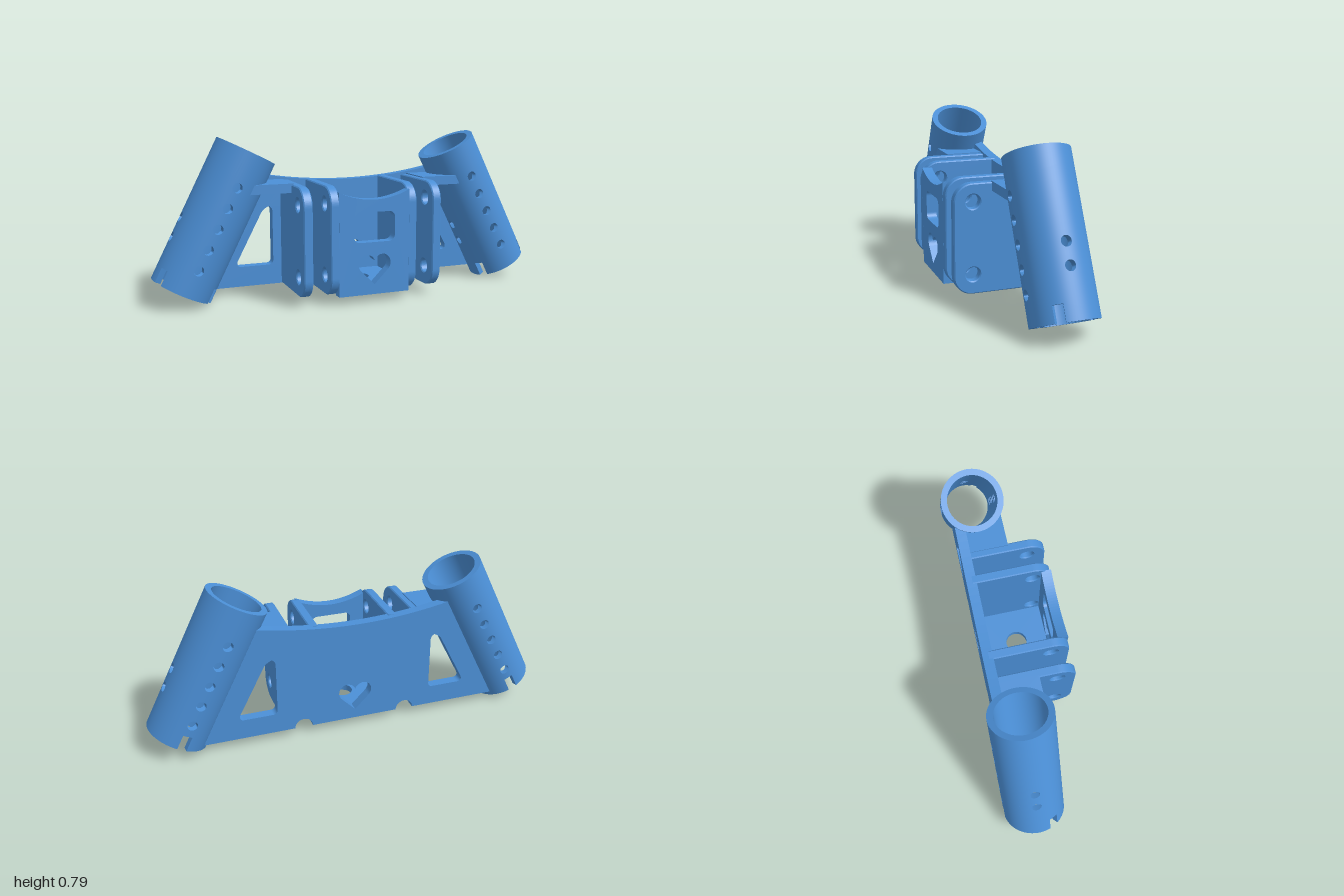
import * as THREE from 'three';

const blue = new THREE.MeshStandardMaterial({ color: 0x4b8fd6 });
const TILT = 0.468, TUBE_R = 0.152, BORE_R = 0.122, TUBE_LEN = 0.732;
const TUBE_X = 0.867, TUBE_Y = 0.073, TUBE_Z = -0.083; // centre of the lower tube end

const polygon = (pts) => new THREE.Shape(pts.map(([x, y]) => new THREE.Vector2(x, y)));

function ellipse(x, y, rx, ry = rx) {
  const p = new THREE.Path();
  p.absellipse(x, y, rx, ry, 0, Math.PI * 2);
  return p;
}

// closed outline with every corner rounded by its own radius: [x, y, r]
function rounded(corners, Type = THREE.Path) {
  const path = new Type(), n = corners.length;
  corners.forEach(([x, y, r], i) => {
    const p = new THREE.Vector2(x, y);
    const toward = ([qx, qy]) => new THREE.Vector2(qx, qy).sub(p).setLength(r).add(p);
    const a = toward(corners[(i + n - 1) % n]), b = toward(corners[(i + 1) % n]);
    if (i === 0) path.moveTo(a.x, a.y); else path.lineTo(a.x, a.y);
    if (r > 0) {
      const k = 0.55;
      path.bezierCurveTo(a.x + (x - a.x) * k, a.y + (y - a.y) * k,
        b.x + (x - b.x) * k, b.y + (y - b.y) * k, b.x, b.y);
    }
  });
  path.closePath();
  return path;
}

function heart() {
  const p = new THREE.Path();
  p.moveTo(0, 0.093);
  p.lineTo(0.07, 0.163);
  p.bezierCurveTo(0.1, 0.195, 0.075, 0.24, 0.042, 0.24);
  p.bezierCurveTo(0.02, 0.24, 0.005, 0.225, 0, 0.212);
  p.bezierCurveTo(-0.005, 0.225, -0.02, 0.24, -0.042, 0.24);
  p.bezierCurveTo(-0.075, 0.24, -0.1, 0.195, -0.07, 0.163);
  p.closePath();
  return p;
}

const extrude = (shape, depth, extra = {}) =>
  new THREE.ExtrudeGeometry(shape, { depth, bevelEnabled: false, curveSegments: 24, ...extra });

// rolls a flat slab (x = angle, y = height, z = depth) into a tube wall,
// cutting its triangles into narrow columns first
function roll(flat, start, innerR, columns = 72) {
  const P = flat.attributes.position, N = flat.attributes.normal;
  const step = Math.PI * 2 / columns, pos = [], nor = [];
  const clip = (poly, limit, sign) => {
    const out = [];
    poly.forEach((a, i) => {
      const b = poly[(i + 1) % poly.length];
      const da = sign * (a[0] - limit), db = sign * (b[0] - limit);
      if (da >= 0) out.push(a);
      if (da * db < 0) out.push(a.map((v, k) => v + (b[k] - v) * da / (da - db)));
    });
    return out;
  };
  const emit = ([u, v, w, nx, ny, nz]) => {
    const s = Math.sin(u), c = Math.cos(u), r = innerR + w;
    pos.push(r * s, v, r * c);
    nor.push(nx * c + nz * s, ny, -nx * s + nz * c);
  };
  for (let t = 0; t < P.count; t += 3) {
    const tri = [t, t + 1, t + 2].map((i) =>
      [P.getX(i), P.getY(i), P.getZ(i), N.getX(i), N.getY(i), N.getZ(i)]);
    for (let k = 0; k < columns; k++) {
      const lo = start + k * step;
      const poly = clip(clip(tri, lo, 1), lo + step, -1);
      for (let i = 1; i + 1 < poly.length; i++) [poly[0], poly[i], poly[i + 1]].forEach(emit);
    }
  }
  const g = new THREE.BufferGeometry();
  g.setAttribute('position', new THREE.Float32BufferAttribute(pos, 3));
  g.setAttribute('normal', new THREE.Float32BufferAttribute(nor, 3));
  return g;
}

// tube wall with three end slots, rows of holes front and back, pairs at the sides
function tubeGeometry() {
  const start = -2.1, end = start + Math.PI * 2, half = 0.15, depth = 0.075;
  const pts = [[start, 0]];
  for (const a of [-Math.PI / 3, Math.PI / 3, Math.PI])
    pts.push([a - half, 0], [a - half, depth], [a + half, depth], [a + half, 0]);
  pts.push([end, 0], [end, TUBE_LEN], [start, TUBE_LEN]);
  const shape = polygon(pts);
  const hole = (a, v) => shape.holes.push(ellipse(a, v, 0.024 / TUBE_R, 0.024));
  for (const a of [0, Math.PI]) for (let i = 0; i < 5; i++) hole(a, 0.135 + i * 0.105);
  for (const a of [-Math.PI / 2, Math.PI / 2]) for (const v of [0.22, 0.32]) hole(a, v);
  return roll(extrude(shape, TUBE_R - BORE_R), start, BORE_R);
}

// back plate: sagging top edge, ends against the tubes, cable notches below
function backPlateGeometry() {
  const s = new THREE.Shape();
  s.moveTo(-0.758, 0.045);
  for (const x of [-0.265, 0.265]) {
    s.lineTo(x - 0.045, 0.045);
    s.absarc(x, 0.045, 0.045, Math.PI, 0, true);
  }
  s.lineTo(0.758, 0.045);
  s.lineTo(0.475, 0.608);
  s.quadraticCurveTo(0, 0.512, -0.475, 0.608);
  s.closePath();
  for (const m of [-1, 1])
    s.holes.push(rounded([[m * 0.395, 0.145, 0.022], [m * 0.592, 0.145, 0.035],
      [m * 0.435, 0.445, 0.04], [m * 0.395, 0.445, 0.03]]));
  s.holes.push(heart());
  return extrude(s, 0.05);
}

// front wall of the middle box
function frontWallGeometry() {
  const s = new THREE.Shape();
  s.moveTo(-0.18, 0.045);
  s.lineTo(0.18, 0.045);
  s.lineTo(0.18, 0.545);
  s.quadraticCurveTo(0, 0.463, -0.18, 0.545);
  s.closePath();
  const r = 0.03;
  s.holes.push(rounded([[-0.105, 0.3, r], [0.105, 0.3, r], [0.105, 0.445, r], [-0.105, 0.445, r]]));
  s.holes.push(heart());
  return extrude(s, 0.05);
}

// upright fin, drawn in (z, y), with two bolt holes
function finGeometry() {
  const s = rounded([[-0.16, 0.045, 0], [0.232, 0.045, 0.09], [0.232, 0.57, 0.09], [-0.16, 0.57, 0]], THREE.Shape);
  for (const y of [0.14, 0.485]) s.holes.push(ellipse(0.14, y, 0.034));
  const e = 0.005;
  const g = extrude(s, 0.035, { bevelEnabled: true, bevelSize: e, bevelThickness: e, bevelOffset: -e, bevelSegments: 1 });
  return g.translate(0, 0, -0.0175).rotateY(-Math.PI / 2);
}

// horizontal rib from the outer fin to the tube, its end following the tube wall
function ribGeometry(side) {
  const cx = 0.625, pts = [[side * 0.34, -0.05], [side * 0.34, 0.15]];
  for (let i = 0; i <= 16; i++) {
    const z = -0.15 + 0.2 * i / 16, d = (z - TUBE_Z) / 0.14;
    pts.push([side * (cx - 0.157 * Math.sqrt(1 - d * d)), -z]);
  }
  return extrude(polygon(pts), 0.045).rotateX(-Math.PI / 2);
}

export function createModel() {
  const model = new THREE.Group();
  model.name = 'tubeBracket';
  const add = (name, geometry, x = 0, y = 0, z = 0) => {
    const mesh = new THREE.Mesh(geometry, blue);
    mesh.name = name;
    mesh.position.set(x, y, z);
    model.add(mesh);
    return mesh;
  };

  add('backPlate', backPlateGeometry(), 0, 0, -0.19);
  add('boxFrontWall', frontWallGeometry(), 0, 0, 0.182);

  // box floor with a round drain hole, slightly recessed underneath
  const floor = polygon([[-0.18, -0.19], [0.18, -0.19], [0.18, 0.15], [-0.18, 0.15]]);
  floor.holes.push(ellipse(0, -0.02, 0.055));
  add('boxFloor', extrude(floor, 0.032).rotateX(-Math.PI / 2), 0, 0.053, 0);

  const tube = tubeGeometry(), fin = finGeometry();
  for (const [side, label] of [[1, 'left'], [-1, 'right']]) {
    add(label + 'Tube', tube, side * TUBE_X, TUBE_Y, TUBE_Z).rotation.z = side * TILT;
    add(label + 'InnerFin', fin, side * 0.198);
    add(label + 'OuterFin', fin, side * 0.33);
    add(label + 'Rib', ribGeometry(side), 0, 0.53, 0);
  }
  return model;
}
